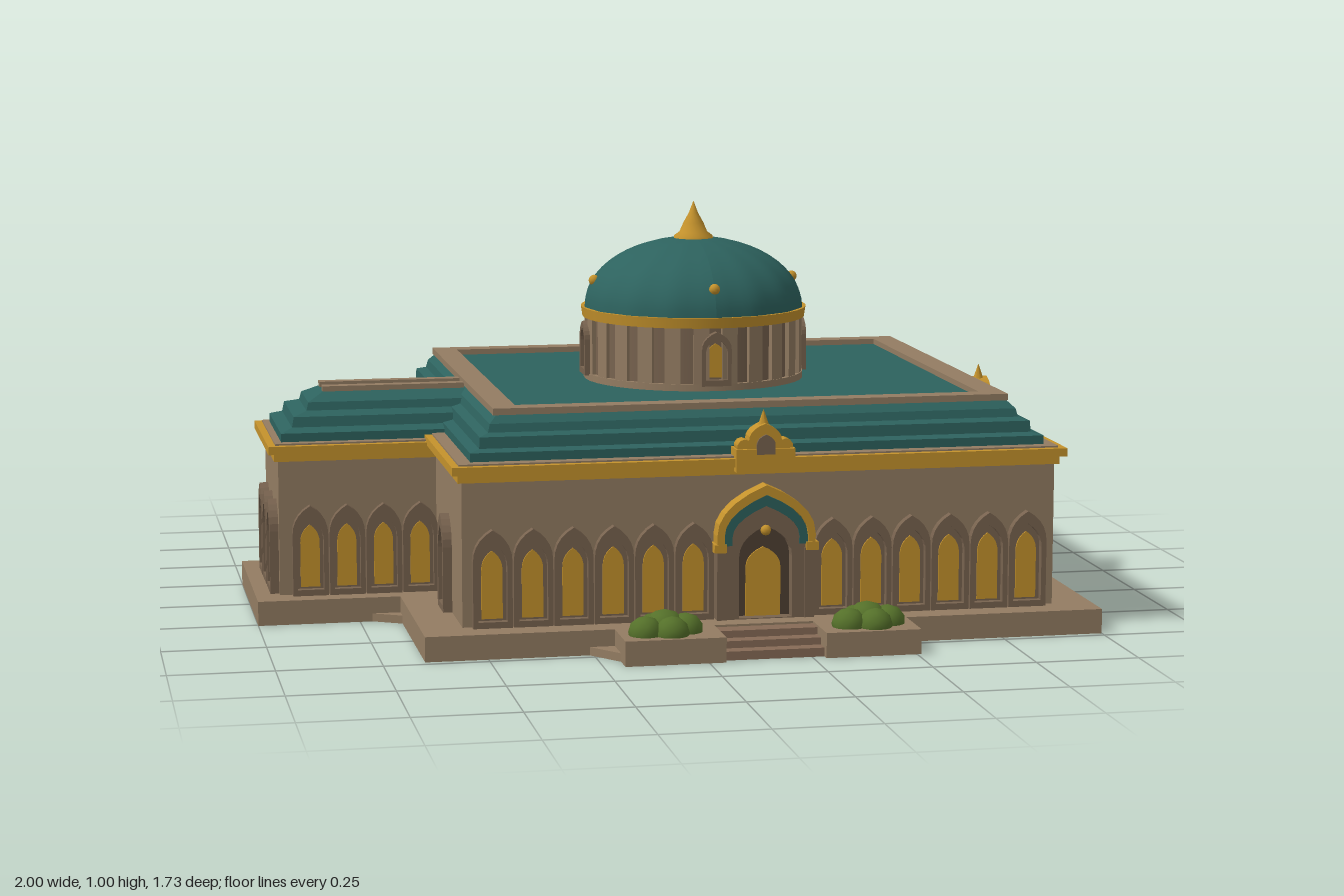
import * as THREE from 'three';

const mat = (name, color, side = THREE.FrontSide) => {
  const m = new THREE.MeshStandardMaterial({ color, side });
  m.name = name;
  return m;
};
const M = {
  stone: mat('wall stone', 0x937c62),
  trim: mat('carved stone', 0x78634f),
  dark: mat('shadowed recess', 0x4f4033),
  step: mat('stair stone', 0x866b56),
  gold: mat('gold', 0xc4922c),
  teal: mat('teal roof', 0x2d625e),
  green: mat('bush green', 0x55712a),
};
const CX = 0.175; // centre of the main hall

export function createModel() {
  const root = new THREE.Group();
  root.name = 'domedHall';

  const add = (parent, name, geo, m, x = 0, y = 0, z = 0) => {
    const mesh = new THREE.Mesh(geo, m);
    mesh.name = name;
    mesh.position.set(x, y, z);
    parent.add(mesh);
    return mesh;
  };
  // Box given by its extents
  const block = (parent, name, m, x0, x1, y0, y1, z0, z1) =>
    add(parent, name, new THREE.BoxGeometry(x1 - x0, y1 - y0, z1 - z0), m, (x0 + x1) / 2, (y0 + y1) / 2, (z0 + z1) / 2);
  const extrude = (shape, depth) =>
    new THREE.ExtrudeGeometry(shape, { depth, bevelEnabled: false, curveSegments: 5 });
  // Pointed arch outline standing on y = 0
  const arch = (w, h, spring, P = THREE.Shape, y0 = 0) => {
    const s = new P();
    s.moveTo(-w / 2, y0);
    s.lineTo(w / 2, y0);
    s.lineTo(w / 2, spring);
    s.quadraticCurveTo(w / 2, spring + (h - spring) * 0.65, 0, h);
    s.quadraticCurveTo(-w / 2, spring + (h - spring) * 0.65, -w / 2, spring);
    s.lineTo(-w / 2, y0);
    return s;
  };
  // Arched band, open at the bottom
  const band = (w, h, t, y0, spring) => {
    const s = new THREE.Shape(), a = w / 2, b = a - t, k = spring + (h - spring) * 0.6;
    s.moveTo(a, y0);
    s.lineTo(a, spring);
    s.quadraticCurveTo(a, k, 0, h);
    s.quadraticCurveTo(-a, k, -a, spring);
    s.lineTo(-a, y0);
    s.lineTo(-b, y0);
    s.lineTo(-b, spring);
    s.quadraticCurveTo(-b, k - t, 0, h - t * 1.3);
    s.quadraticCurveTo(b, k - t, b, spring);
    s.lineTo(b, y0);
    return s;
  };
  // Stack of rectangles: rings of [inset, y]
  const loft = (x0, x1, hz, rings) => {
    const p = [], idx = [], n = rings.length;
    rings.forEach(([i, y]) => p.push(x0 + i, y, hz - i, x1 - i, y, hz - i, x1 - i, y, i - hz, x0 + i, y, i - hz));
    for (let r = 0; r < n - 1; r++) for (let c = 0; c < 4; c++) {
      const a = r * 4 + c, b = r * 4 + (c + 1) % 4;
      idx.push(a, b, b + 4, a, b + 4, a + 4);
    }
    const t = (n - 1) * 4;
    idx.push(t, t + 1, t + 2, t, t + 2, t + 3);
    let g = new THREE.BufferGeometry();
    g.setAttribute('position', new THREE.Float32BufferAttribute(p, 3));
    g.setIndex(idx);
    g = g.toNonIndexed();
    g.computeVertexNormals();
    return g;
  };
  // Group on a wall; its local +z is the outward direction
  const onWall = (name, x, y, z, angle) => {
    const g = new THREE.Group();
    g.name = name;
    g.position.set(x, y, z);
    g.rotation.y = angle;
    root.add(g);
    return g;
  };
  const windowAt = (x, y, z, angle, w, h) => {
    const g = onWall('archedWindow', x, y, z, angle);
    const f = arch(w, h, h * 0.68);
    f.holes.push(arch(w * 0.74, h * 0.87, h * 0.62, THREE.Path, 0.015));
    add(g, 'windowFrame', extrude(f, 0.022), M.trim);
    add(g, 'windowRecess', extrude(arch(w * 0.76, h * 0.88, h * 0.62), 0.003), M.trim);
    add(g, 'windowPane', extrude(arch(w * 0.54, h * 0.78, h * 0.58, THREE.Shape, 0.02), 0.007), M.gold);
  };

  // Plinth, terraces and corner wedges
  block(root, 'mainPlinth', M.stone, -0.65, 1, 0, 0.06, -0.73, 0.73);
  block(root, 'wingPlinth', M.stone, -1, -0.65, 0, 0.06, -0.26, 0.26);
  const wedge = (x, z, dx, dz) => {
    const pts = [[x, -z], [x + dx, -z], [x, -z - dz]].map(a => new THREE.Vector2(...a));
    add(root, 'groundWedge', extrude(new THREE.Shape(pts), 0.02), M.stone).rotation.x = -Math.PI / 2;
  };
  wedge(-0.2, 0.73, -0.06, 0.08);
  wedge(0.51, -0.73, 0.08, -0.08);
  wedge(-0.65, 0.26, -0.07, 0.04);

  // Walls
  block(root, 'mainWalls', M.stone, -0.55, 0.9, 0.06, 0.42, -0.645, 0.645);
  block(root, 'wingWalls', M.stone, -0.94, -0.5, 0.06, 0.41, -0.19, 0.19);

  // Stepped gold cornices with a stone ledge on top
  const cornice = (x0, x1, hz, y) => {
    block(root, 'corniceMoulding', M.gold, x0 + 0.015, x1 - 0.015, y - 0.04, y - 0.02, 0.015 - hz, hz - 0.015);
    block(root, 'cornice', M.gold, x0, x1, y - 0.02, y, -hz, hz);
    block(root, 'corniceLedge', M.stone, x0 + 0.018, x1 - 0.018, y, y + 0.004, 0.018 - hz, hz - 0.018);
  };
  cornice(-0.575, 0.925, 0.67, 0.447);
  cornice(-0.965, -0.5, 0.215, 0.435);

  // Tiered roofs
  add(root, 'mainRoof', loft(-0.525, 0.88, 0.62,
    [[0, 0.44], [0, 0.472], [0.025, 0.478], [0.027, 0.505], [0.05, 0.512], [0.055, 0.532], [0.075, 0.552]]), M.teal);
  add(root, 'wingRoof', loft(-0.93, -0.3, 0.17,
    [[0, 0.43], [0, 0.46], [0.03, 0.47], [0.035, 0.495], [0.07, 0.505], [0.075, 0.525], [0.115, 0.545]]), M.teal);
  for (const s of [-1, 1]) {
    const edge = (n, x0, x1, z0, z1, y) => block(root, n, M.stone, x0, x1, y - 0.016, y, z0, z1);
    edge('roofRimLong', -0.46, 0.81, s * 0.525 - 0.025, s * 0.525 + 0.025, 0.566);
    edge('roofRimShort', CX + s * 0.605 - 0.03, CX + s * 0.605 + 0.03, -0.5, 0.5, 0.566);
    edge('wingRidge', -0.815, -0.46, s * 0.04 - 0.015, s * 0.04 + 0.015, 0.558);
  }

  // Windows, entrances, stairs and bushes on the front and back
  for (const s of [-1, 1]) {
    const turn = s > 0 ? 0 : Math.PI;
    for (let i = 0; i < 6; i++) for (const d of [-1, 1])
      windowAt(CX + d * (0.17 + i * 0.097), 0.06, s * 0.645, turn, 0.094, 0.235);
    for (let i = 0; i < 4; i++) windowAt(-0.865 + i * 0.091, 0.06, s * 0.19, turn, 0.088, 0.225);
    windowAt(-0.55, 0.06, s * 0.42, -Math.PI / 2, 0.1, 0.235);

    const p = onWall('entrance', CX, 0.06, s * 0.645, turn);
    const f = arch(0.2, 0.28, 0.17);
    f.holes.push(arch(0.13, 0.225, 0.15, THREE.Path, 0.002));
    add(p, 'doorFrame', extrude(f, 0.035), M.trim);
    add(p, 'doorRecess', extrude(arch(0.14, 0.23, 0.15), 0.004), M.dark);
    add(p, 'door', extrude(arch(0.085, 0.17, 0.12), 0.009), M.gold);
    add(p, 'doorBoss', new THREE.SphereGeometry(0.013, 8, 6), M.gold, 0, 0.215, 0.035);
    add(p, 'goldArch', extrude(band(0.24, 0.325, 0.018, 0.17, 0.205), 0.045), M.gold);
    add(p, 'tealArch', extrude(band(0.204, 0.3, 0.02, 0.18, 0.2), 0.04), M.teal);
    for (const d of [-1, 1]) {
      block(p, 'doorPilaster', M.trim, d * 0.107 - 0.012, d * 0.107 + 0.012, 0, 0.17, 0, 0.04);
      block(p, 'archBracket', M.gold, d * 0.112 - 0.015, d * 0.112 + 0.015, 0.165, 0.185, 0, 0.048);
    }

    for (let i = 0; i < 3; i++)
      block(root, 'stair', M.step, 0.04, 0.28, 0, 0.055 - i * 0.017, ...[s * 0.7, s * (0.775 + i * 0.035)].sort((a, b) => a - b));
    for (const [x0, x1, bx] of [[-0.2, 0.04, -0.09], [0.28, 0.51, 0.4]]) {
      block(root, 'terrace', M.stone, x0, x1, 0, 0.06, s * 0.79 - 0.075, s * 0.79 + 0.075);
      const bush = onWall('bush', bx, 0.065, s * 0.79, turn);
      for (const [x, z, r] of [[-0.05, 0.01, 0.042], [0, -0.015, 0.052], [0.01, 0.025, 0.042], [0.05, -0.01, 0.042], [-0.025, -0.02, 0.042]]) {
        const g = new THREE.IcosahedronGeometry(r, 1);
        g.rotateY(x * 40);
        add(bush, 'leaves', g, M.green, x, 0, z).scale.y = 0.95;
      }
    }
  }

  // Windows on the end walls
  for (const z of [-0.47, -0.325, -0.2, 0, 0.2, 0.325, 0.47])
    windowAt(0.9, 0.06, z, Math.PI / 2, z ? 0.125 : 0.18, z ? 0.24 : 0.26);
  for (const z of [-0.12, 0, 0.12]) windowAt(-0.94, 0.06, z, -Math.PI / 2, 0.1, 0.23);

  // Gold crests above the cornice
  for (const [x, z, a] of [[CX, 0.645, 0], [CX, -0.645, Math.PI], [0.895, 0, Math.PI / 2]]) {
    const c = onWall('crest', x, 0.445, z, a);
    block(c, 'crestBase', M.gold, -0.072, 0.072, -0.03, 0.025, -0.025, 0.034);
    for (const d of [-1, 1])
      add(c, 'crestScroll', new THREE.CylinderGeometry(0.018, 0.018, 0.04, 10), M.gold, d * 0.05, 0.03, 0.005).rotation.x = Math.PI / 2;
    add(c, 'crestArch', extrude(arch(0.08, 0.085, 0.045), 0.045), M.gold, 0, 0, -0.018);
    add(c, 'crestPanel', extrude(arch(0.045, 0.06, 0.035, THREE.Shape, 0.012), 0.006), M.trim, 0, 0, 0.03);
    add(c, 'crestFinial', new THREE.ConeGeometry(0.016, 0.045, 8), M.gold, 0, 0.095, 0.004);
  }

  // Drum with pilasters and four windows
  const dome = onWall('domeTower', 0.14, 0, 0, 0);
  add(dome, 'drum', new THREE.CylinderGeometry(0.268, 0.268, 0.165, 40), M.trim, 0, 0.632, 0);
  add(dome, 'drumFoot', new THREE.CylinderGeometry(0.28, 0.28, 0.018, 40), M.stone, 0, 0.56, 0);
  for (let i = 0; i < 24; i++) {
    const a = (i + 0.5) / 24 * Math.PI * 2;
    const pil = add(dome, 'drumPilaster', new THREE.BoxGeometry(0.04, 0.15, 0.02), M.stone,
      Math.sin(a) * 0.267, 0.635, Math.cos(a) * 0.267);
    pil.rotation.y = a;
  }
  for (let i = 0; i < 4; i++) {
    const a = i * Math.PI / 2, sx = Math.sin(a), cz = Math.cos(a);
    windowAt(0.14 + sx * 0.266, 0.565, cz * 0.266, a, 0.075, 0.135);
    add(dome, 'domeStud', new THREE.SphereGeometry(0.014, 10, 8), M.gold, sx * 0.257, 0.803, cz * 0.257);
  }
  add(dome, 'domeRing', new THREE.CylinderGeometry(0.287, 0.283, 0.026, 40), M.gold, 0, 0.722, 0);

  // Gently fluted dome
  const prof = [];
  for (let i = 0; i <= 14; i++) {
    const t = i / 14 * Math.PI / 2;
    prof.push(new THREE.Vector2(Math.max(0.28 * Math.cos(t), 0.0005), 0.735 + 0.175 * Math.sin(t)));
  }
  const shell = new THREE.LatheGeometry(prof, 96), pos = shell.attributes.position;
  for (let i = 0; i < pos.count; i++) {
    const x = pos.getX(i), z = pos.getZ(i), k = 1 - 0.014 * (1 - Math.cos(16 * Math.atan2(x, z))) / 2;
    pos.setX(i, x * k);
    pos.setZ(i, z * k);
  }
  shell.computeVertexNormals();
  add(dome, 'domeShell', shell, M.teal);

  // Finial
  const fin = [[0.052, 0.895], [0.05, 0.912], [0.036, 0.922], [0.026, 0.945], [0.012, 0.97], [0.0005, 1]];
  add(dome, 'domeFinial', new THREE.LatheGeometry(fin.map(a => new THREE.Vector2(...a)), 16), M.gold);

  return root;
}
